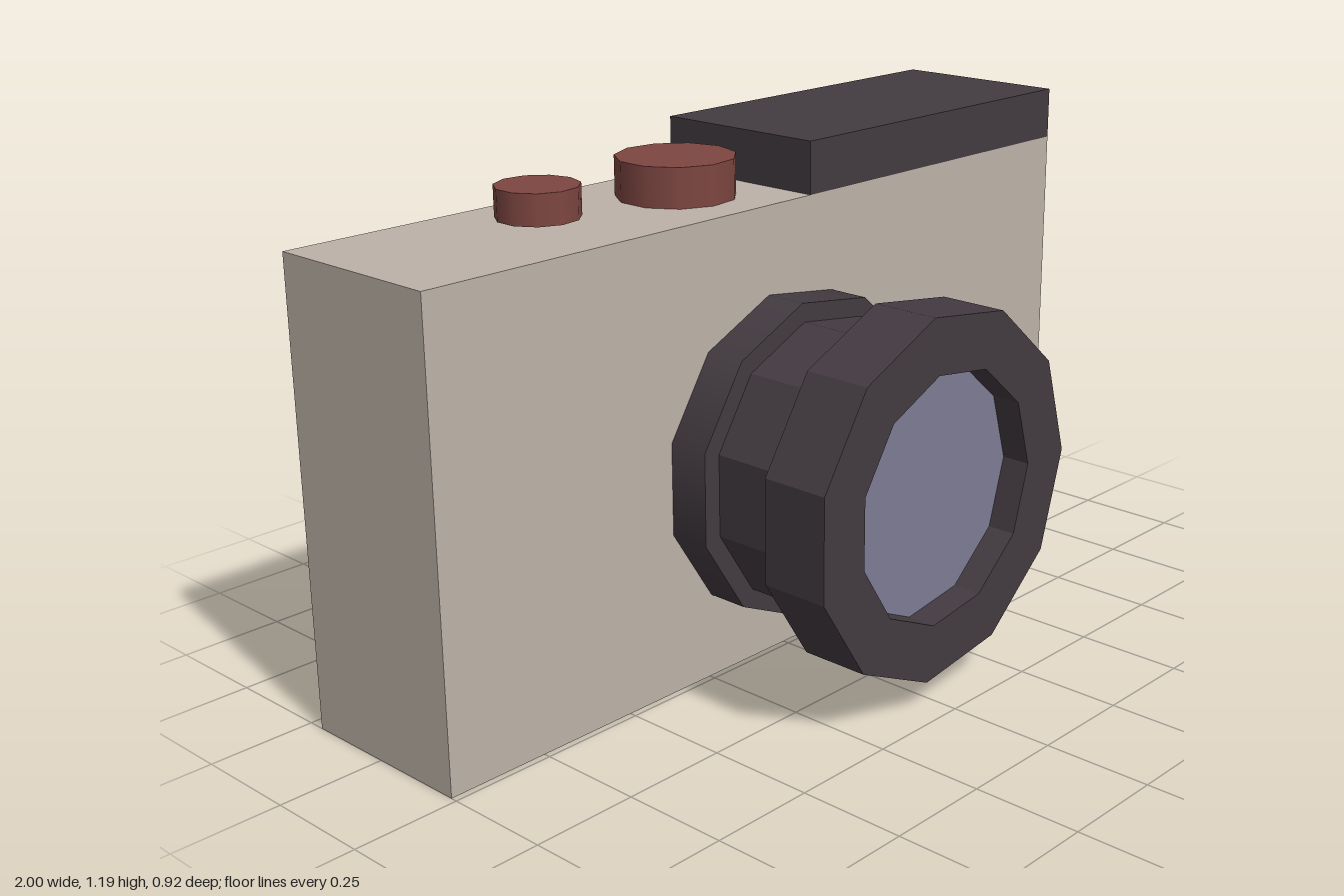
import * as THREE from 'three';

const SIDES = 11;
const BACK = -0.46, FRONT = -0.015;
const LENS_X = 0.007, LENS_Y = 0.488;

const material = (name, color) => {
  const m = new THREE.MeshStandardMaterial({ color });
  m.name = name;
  return m;
};

// Faceted normals without needing a second material per colour
function faceted(geometry) {
  const g = geometry.toNonIndexed();
  g.computeVertexNormals();
  return g;
}

export function createModel() {
  const group = new THREE.Group();
  const tan = material('tan body', 0xbdb2a8);
  const dark = material('dark trim', 0x433b41);
  const red = material('red buttons', 0x7d4641);
  const blue = material('blue glass', 0x7d7c95);

  const add = (name, geometry, mat) => {
    const mesh = new THREE.Mesh(geometry, mat);
    mesh.name = name;
    group.add(mesh);
    return mesh;
  };

  const block = (name, x0, x1, y0, y1, mat) =>
    add(name, new THREE.BoxGeometry(x1 - x0, y1 - y0, FRONT - BACK), mat)
      .position.set((x0 + x1) / 2, (y0 + y1) / 2, (BACK + FRONT) / 2);

  // Cylinder with one corner pointing along +x
  const prism = (r, h) =>
    new THREE.CylinderGeometry(r, r, h, SIDES, 1, false, Math.PI / 2);

  // Body and raised top plate
  block('body', -1, 1, 0, 1.068, tan);
  block('topPlate', 0.09, 1, 1.068, 1.19, dark);

  // Buttons; the small one hovers slightly above the body
  const button = (name, x, r, y0, y1) =>
    add(name, prism(r, y1 - y0), red).position.set(x, (y0 + y1) / 2, -0.235);
  button('shutterButton', -0.52, 0.093, 1.09, 1.16);
  button('dial', -0.115, 0.138, 1.068, 1.16);

  // Lens mount with softly shaded sides
  const mount = prism(0.38, 0.085 - FRONT).rotateX(Math.PI / 2);
  add('lensMount', mount, dark).position.set(LENS_X, LENS_Y, (0.085 + FRONT) / 2);

  // Lens barrel
  const barrel = faceted(prism(0.335, 0.215)).rotateX(Math.PI / 2);
  add('lensBarrel', barrel, dark).position.set(LENS_X, LENS_Y, 0.1925);

  // Front ring with a recess: back face, outer wall, rim, inner wall
  const profile = [[0.3, 0.298], [0.422, 0.298], [0.422, 0.46], [0.29, 0.46], [0.29, 0.39]]
    .map(([r, z]) => new THREE.Vector2(r, z));
  const ring = new THREE.LatheGeometry(profile, SIDES, Math.PI / 2).rotateX(Math.PI / 2);
  add('lensRing', faceted(ring), dark).position.set(LENS_X, LENS_Y, 0);

  // Recessed glass
  add('lensGlass', new THREE.CircleGeometry(0.29, SIDES), blue)
    .position.set(LENS_X, LENS_Y, 0.392);

  return group;
}
